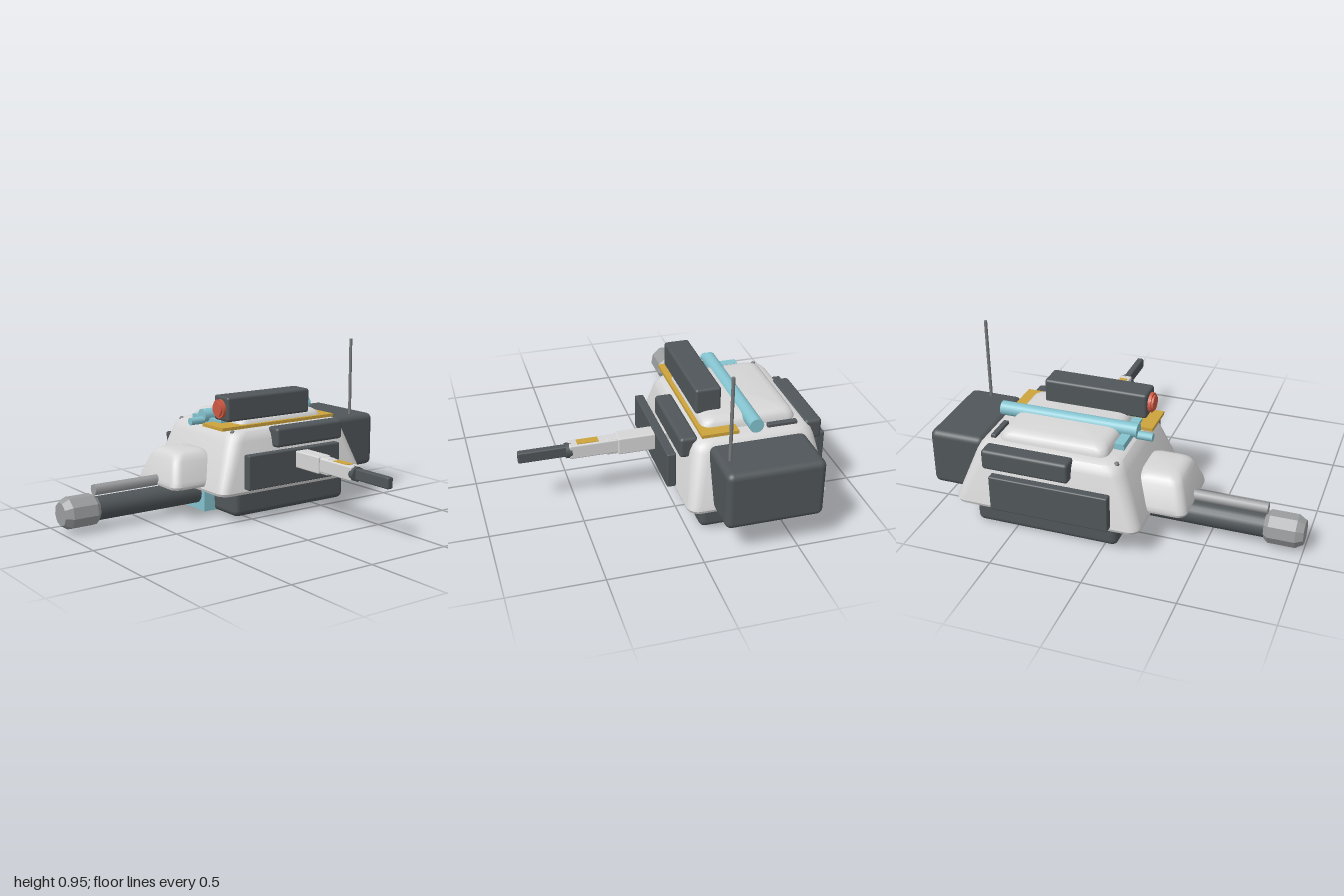
import * as THREE from 'three';
import { toCreasedNormals } from 'three/addons/utils/BufferGeometryUtils.js';
import { RoundedBoxGeometry } from 'three/addons/geometries/RoundedBoxGeometry.js';

const CX = -0.365; // centre line of the turret

const paint = (name, color) => {
  const m = new THREE.MeshStandardMaterial({ color });
  m.name = name;
  return m;
};

// Stacked rounded rectangles; each ring is [y, half width, back z, front z, corner radius]
function loft(rings, seg = 5) {
  const pos = [], idx = [], n = 4 * (seg + 1);
  for (const [y, hw, z0, z1, r] of rings) {
    const hz = (z1 - z0) / 2, cz = (z0 + z1) / 2;
    for (let q = 0; q < 4; q++) {
      const sx = q === 0 || q === 3 ? 1 : -1, sz = q < 2 ? 1 : -1;
      for (let k = 0; k <= seg; k++) {
        const a = (q + k / seg) * Math.PI / 2;
        pos.push(sx * (hw - r) + r * Math.cos(a), y, cz + sz * (hz - r) + r * Math.sin(a));
      }
    }
  }
  for (let i = 0; i < rings.length - 1; i++) {
    for (let j = 0; j < n; j++) {
      const a = i * n + j, b = i * n + (j + 1) % n;
      idx.push(a, a + n, b, b, a + n, b + n);
    }
  }
  // end caps
  const last = (rings.length - 1) * n;
  const bottom = pos.length / 3, top = bottom + 1;
  for (const r of [rings[0], rings[rings.length - 1]]) pos.push(0, r[0], (r[2] + r[3]) / 2);
  for (let j = 0; j < n; j++) {
    const k = (j + 1) % n;
    idx.push(bottom, j, k, top, last + k, last + j);
  }
  const g = new THREE.BufferGeometry();
  g.setAttribute('position', new THREE.Float32BufferAttribute(pos, 3));
  g.setIndex(idx);
  return toCreasedNormals(g, 0.55);
}

export function createModel() {
  const model = new THREE.Group();
  model.name = 'turret';
  const light = paint('light grey armour', 0xd6d6d6);
  const dark = paint('dark grey', 0x505659);
  const metal = paint('gun metal', 0x9a9c9e);
  const steel = paint('antenna grey', 0x77797b);
  const teal = paint('teal', 0x84c3cf);
  const yellow = paint('yellow', 0xcda43c);
  const red = paint('red lens', 0xcf5a43);

  const add = (name, geo, mat, x = 0, y = 0, z = 0) => {
    const m = new THREE.Mesh(geo, mat);
    m.name = name;
    m.position.set(x, y, z);
    model.add(m);
    return m;
  };
  // box given by its limits, rounded when r > 0
  const box = (name, mat, [x0, x1], [y0, y1], [z0, z1], r = 0) => {
    const s = [x1 - x0, y1 - y0, z1 - z0];
    const g = r ? new RoundedBoxGeometry(...s, 3, r) : new THREE.BoxGeometry(...s);
    return add(name, g, mat, (x0 + x1) / 2, (y0 + y1) / 2, (z0 + z1) / 2);
  };
  // rod along an axis between two positions
  const rod = (name, mat, axis, r, a, b, x, y, z, sides = 16) => {
    const g = new THREE.CylinderGeometry(r, r, b - a, sides);
    if (axis === 'z') g.rotateX(Math.PI / 2);
    if (axis === 'x') g.rotateZ(-Math.PI / 2);
    const m = add(name, g, mat, x, y, z);
    m.position[axis] = (a + b) / 2;
    return m;
  };

  // hull, roof and base
  add('turretBody', loft([
    [0.148, 0.36, -0.79, 0.19, 0.05],
    [0.155, 0.38, -0.81, 0.21, 0.06],
    [0.17, 0.385, -0.815, 0.215, 0.06],
    [0.19, 0.38, -0.81, 0.21, 0.06],
    [0.44, 0.333, -0.715, 0.115, 0.08],
    [0.47, 0.322, -0.7, 0.098, 0.08],
    [0.492, 0.304, -0.68, 0.08, 0.08],
    [0.502, 0.275, -0.65, 0.05, 0.07],
  ]), light, CX);
  add('roofHatch', loft([
    [0.48, 0.26, -0.6, 0.005, 0.05],
    [0.515, 0.257, -0.597, 0.002, 0.05],
    [0.54, 0.245, -0.585, -0.01, 0.05],
    [0.555, 0.225, -0.565, -0.03, 0.05],
    [0.561, 0.195, -0.535, -0.06, 0.04],
  ]), light, CX);
  box('turretBase', dark, [-0.67, -0.065], [0, 0.17], [-0.73, 0.07], 0.035);
  box('rearStowage', dark, [-0.63, -0.11], [0.165, 0.485], [-1, -0.69], 0.035);

  // side armour, mirrored about the centre line
  for (const s of [1, -1]) {
    const span = (a, b) => [CX + s * a, CX + s * b].sort((p, q) => p - q);
    box('sidePlate', dark, span(0.386, 0.435), [0.185, 0.383], [-0.58, 0.07], 0.008);
    box('upperSideBox', dark, span(0.29, 0.386), [0.39, 0.503], [-0.64, -0.16], 0.018);
    add('roofBolt', new THREE.SphereGeometry(0.014, 10, 6), steel, CX + s * 0.265, 0.488, 0.063);
  }

  // main gun
  add('gunMantlet', loft([
    [0.185, 0.2, 0.02, 0.405, 0.05],
    [0.2, 0.205, 0.02, 0.41, 0.05],
    [0.225, 0.2, 0.03, 0.405, 0.05],
    [0.33, 0.152, 0.1, 0.37, 0.05],
    [0.36, 0.135, 0.12, 0.355, 0.05],
    [0.376, 0.112, 0.14, 0.333, 0.05],
    [0.382, 0.085, 0.16, 0.31, 0.04],
  ]), light, CX);
  rod('gunBarrel', dark, 'z', 0.066, 0.05, 0.81, -0.367, 0.107, 0, 20);
  const muzzle = new THREE.LatheGeometry([
    [0, -0.105], [0.07, -0.105], [0.09, -0.08], [0.09, 0.065], [0.066, 0.105], [0, 0.105],
  ].map(p => new THREE.Vector2(...p)), 9);
  muzzle.rotateX(Math.PI / 2);
  add('muzzle', toCreasedNormals(muzzle, 0.3), metal, -0.367, 0.107, 0.895);
  rod('coaxialGun', metal, 'z', 0.031, 0.3, 0.8, -0.367, 0.213, 0, 8);
  box('gunCradle', teal, [-0.465, -0.272], [0.005, 0.16], [0.03, 0.14]);

  // roof equipment
  box('roofRail', yellow, [-0.287, -0.088], [0.503, 0.521], [-0.66, 0.14]);
  rod('roofTube', teal, 'z', 0.039, -0.685, 0.09, -0.37, 0.547, 0);
  rod('roofTubeTip', teal, 'z', 0.022, 0.08, 0.17, -0.37, 0.52, 0, 12);
  box('crossTube', teal, [-0.515, -0.22], [0.495, 0.535], [0.008, 0.06]);
  box('sightPod', dark, [-0.245, -0.105], [0.545, 0.686], [-0.49, 0.09], 0.015);
  rod('lensRim', red, 'z', 0.054, 0.08, 0.107, -0.175, 0.615, 0, 20);
  rod('lens', red, 'z', 0.042, 0.1, 0.118, -0.175, 0.615, 0, 20);
  box('roofStrip', dark, [-0.61, -0.447], [0.485, 0.52], [-0.645, -0.615], 0.006);
  rod('antenna', steel, 'y', 0.009, 0.47, 0.947, -0.167, 0, -0.858, 10);

  // side gun
  box('sideGunMount', light, [-0.05, 0.27], [0.275, 0.372], [-0.345, -0.255], 0.008);
  box('sideGunReceiver', light, [0.2, 0.33], [0.275, 0.368], [-0.329, -0.271], 0.006);
  box('sideGunHousing', light, [0.25, 0.53], [0.284, 0.364], [-0.335, -0.265], 0.008);
  box('sideGunPanel', yellow, [0.37, 0.485], [0.359, 0.367], [-0.323, -0.277]);
  rod('sideGunCollar', dark, 'x', 0.042, 0.515, 0.548, 0, 0.323, -0.3, 8);
  box('sideGunBarrel', dark, [0.53, 0.8], [0.293, 0.355], [-0.319, -0.281], 0.008);

  return model;
}
